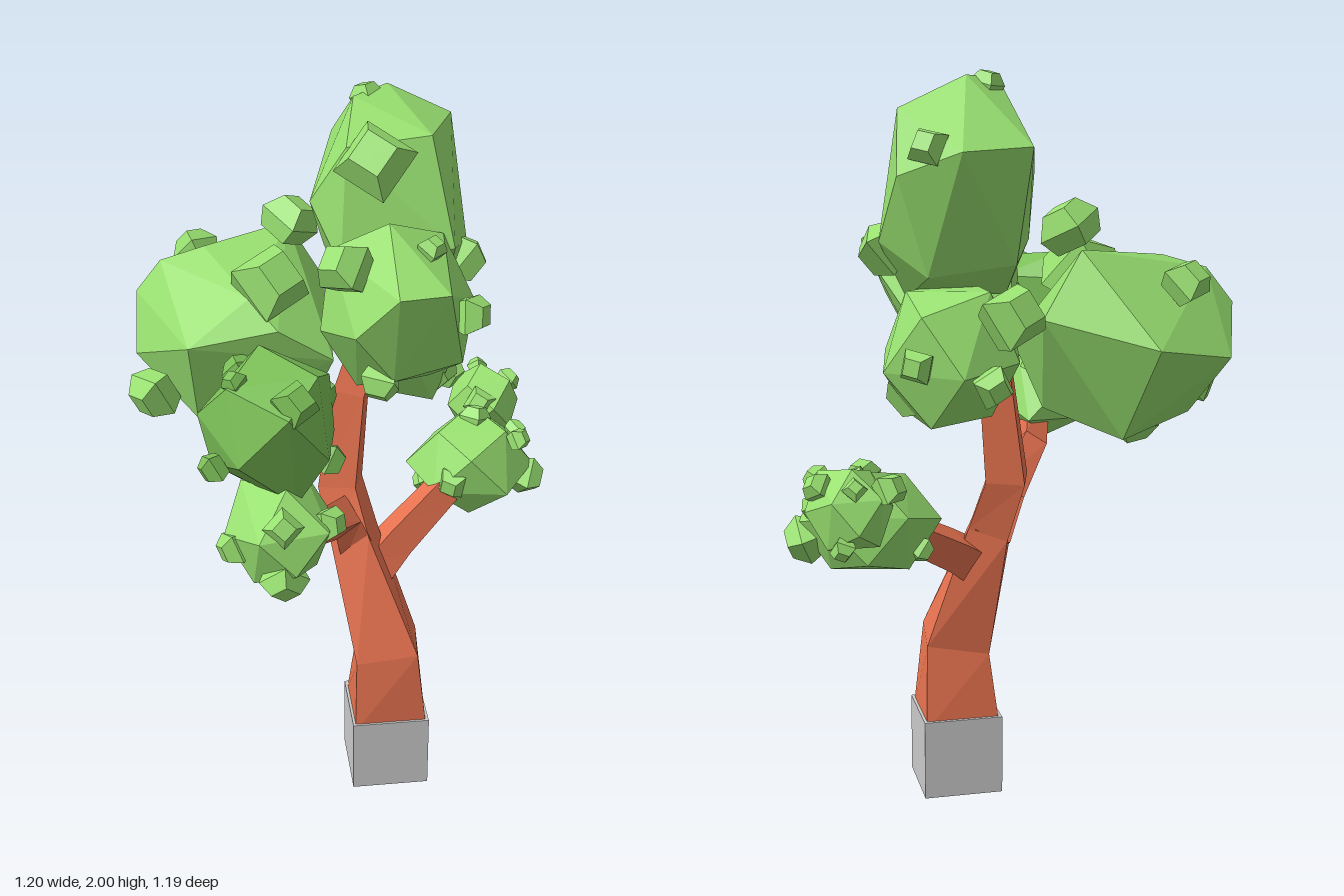
import * as THREE from 'three';
import { ConvexGeometry } from 'three/addons/geometries/ConvexGeometry.js';

const mat = (color) => new THREE.MeshStandardMaterial({ color, flatShading: true });
const V = (a) => new THREE.Vector3(a[0], a[1], a[2]);

// Small seeded generator for the irregular clumps
function seeded(s) {
  return () => (s = (s * 16807) % 2147483647) / 2147483647;
}

// Four-sided limb through points [x, y, z, halfWidth, twist]
function limb(name, pts, material) {
  const pos = [], idx = [];
  pts.forEach((p, i) => {
    const t = V(pts[Math.min(i + 1, pts.length - 1)]).sub(V(pts[Math.max(i - 1, 0)])).normalize();
    if (p[4] === 0) t.set(0, 1, 0);
    const side = t.clone().cross(new THREE.Vector3(0, 0, 1)).normalize();
    const other = side.clone().cross(t);
    for (let j = 0; j < 4; j++) {
      const a = Math.PI / 4 + j * Math.PI / 2 + p[4], r = p[3] * Math.SQRT2;
      const c = V(p).addScaledVector(side, r * Math.cos(a)).addScaledVector(other, r * Math.sin(a));
      pos.push(c.x, c.y, c.z);
    }
  });
  for (let i = 0; i < pts.length - 1; i++) {
    for (let j = 0; j < 4; j++) {
      const a = i * 4 + j, b = i * 4 + (j + 1) % 4;
      idx.push(a, a + 4, b, b, a + 4, b + 4);
    }
  }
  const n = (pts.length - 1) * 4;
  idx.push(0, 1, 2, 0, 2, 3, n, n + 2, n + 1, n, n + 3, n + 2);
  let g = new THREE.BufferGeometry();
  g.setAttribute('position', new THREE.Float32BufferAttribute(pos, 3));
  g.setIndex(idx);
  g = g.toNonIndexed();
  g.computeVertexNormals();
  const m = new THREE.Mesh(g, material);
  m.name = name;
  return m;
}

// Faceted ball: turned, jittered cube and octahedron corners fitted to a box
function ballPoints(center, half, seed) {
  const rnd = seeded(seed), pts = [];
  const turn = new THREE.Euler(rnd() * 2, rnd() * 2, rnd() * 2);
  for (const x of [-1, 0, 1]) for (const y of [-1, 0, 1]) for (const z of [-1, 0, 1]) {
    const k = Math.abs(x) + Math.abs(y) + Math.abs(z);
    if (k !== 1 && k !== 3) continue;
    pts.push(new THREE.Vector3(x, y, z).normalize().multiplyScalar(0.9 + 0.2 * rnd()).applyEuler(turn));
  }
  const box = new THREE.Box3().setFromPoints(pts);
  const mid = box.getCenter(new THREE.Vector3()), size = box.getSize(new THREE.Vector3());
  return pts.map((p) => p.sub(mid).divide(size).multiply(V(half)).multiplyScalar(2).add(V(center)));
}

// Tapered four-sided bud
const budGeometry = new THREE.LatheGeometry(
  [[0, -0.7], [0.85, -0.7], [1.15, 0], [0.65, 0.7], [0, 0.7]].map((p) => new THREE.Vector2(...p)), 4);

// Hull of points, with buds [x, y, z, size] pointing away from its middle
function clump(name, points, buds, material) {
  const group = new THREE.Group();
  group.name = name;
  const body = new THREE.Mesh(new ConvexGeometry(points), material);
  body.name = name + 'Body';
  group.add(body);
  const mid = new THREE.Box3().setFromPoints(points).getCenter(new THREE.Vector3());
  buds.forEach((b) => {
    const bud = new THREE.Mesh(budGeometry, material);
    bud.name = 'leafBud';
    bud.position.copy(V(b));
    bud.quaternion.setFromUnitVectors(new THREE.Vector3(0, 1, 0), V(b).sub(mid).normalize());
    bud.scale.setScalar(b[3]);
    group.add(bud);
  });
  return group;
}

export function createModel() {
  const tree = new THREE.Group();
  tree.name = 'tree';
  const bark = mat(0xe87350), leaf = mat(0x98e070), darkLeaf = mat(0x7cc058);

  // Base block
  const base = new THREE.Mesh(new THREE.BoxGeometry(0.222, 0.226, 0.222), mat(0xcccccc));
  base.name = 'baseBlock';
  base.position.set(0.09, 0.113, 0.036);
  tree.add(base);

  // Trunk and branches
  tree.add(
    limb('trunk', [
      [0.09, 0.2, 0.036, 0.104, 0], [0.088, 0.43, 0.045, 0.088, 0.1], [0.003, 0.77, -0.03, 0.056, 0.3],
      [-0.032, 0.92, -0.075, 0.053, 0.3], [0.0, 1.2, -0.085, 0.043, 0.3], [0.05, 1.35, -0.1, 0.04, 0.3],
    ], bark),
    limb('frontBranch', [
      [0.01, 0.74, -0.03, 0.052, 0.1], [-0.04, 0.85, 0.01, 0.045, 0.1],
      [-0.18, 0.94, 0.25, 0.036, 0.1], [-0.21, 1.07, 0.29, 0.03, 0.1],
    ], bark),
    limb('sideBranch', [[0.04, 0.66, 0.0, 0.05, 0.1], [0.12, 0.72, -0.06, 0.045, 0.1], [0.31, 0.84, -0.19, 0.038, 0.1]], bark),
  );

  // Large crown clumps
  tree.add(
    clump('rearCrown', [
      [-0.29, 1.34, -0.6], [-0.51, 1.3, -0.49], [-0.57, 1.42, -0.33], [-0.58, 1.27, -0.24], [-0.5, 1.51, -0.32],
      [-0.38, 1.545, -0.32], [-0.14, 1.57, -0.42], [-0.27, 1.47, -0.11], [-0.44, 1.36, -0.045], [-0.2, 1.4, -0.04],
      [-0.05, 1.3, -0.06], [-0.04, 1.4, -0.43], [-0.42, 1.12, -0.12], [-0.12, 1.12, -0.12], [-0.25, 1.09, -0.43],
      [-0.45, 1.14, -0.35],
    ].map(V), [
      [-0.4, 1.49, -0.46, 0.06], [-0.14, 1.62, -0.3, 0.075], [-0.21, 1.5, -0.14, 0.1],
      [-0.54, 1.19, -0.14, 0.07], [-0.33, 1.1, -0.25, 0.065],
    ], leaf),
    clump('topCrown', [
      [0.02, 1.98, -0.2], [0.12, 1.99, -0.28], [0.29, 1.91, -0.27], [0.2, 1.92, -0.03], [-0.02, 1.9, -0.02],
      [-0.11, 1.75, -0.06], [-0.01, 1.82, -0.45], [0.17, 1.81, -0.48], [0.31, 1.75, -0.37], [0.33, 1.58, -0.2],
      [0.25, 1.65, 0.06], [-0.04, 1.6, 0.03], [0, 1.44, -0.2], [0.24, 1.42, -0.08], [0.23, 1.5, -0.34],
      [0.01, 1.53, -0.36], [-0.06, 1.58, -0.2],
    ].map(V), [
      [0.05, 1.87, 0.01, 0.095], [0.06, 1.97, -0.25, 0.04], [0.24, 1.82, -0.41, 0.05], [0.31, 1.55, -0.12, 0.07],
    ], leaf),
    clump('frontCrown', [
      [0.07, 1.75, 0.13], [0.22, 1.69, 0.05], [-0.07, 1.66, 0.05], [0.07, 1.62, 0.32], [0.2, 1.62, 0.3],
      [-0.03, 1.5, 0.26], [0.31, 1.5, 0.04], [0.25, 1.4, 0.21], [0.07, 1.37, 0.24], [-0.1, 1.45, 0.08],
      [0, 1.27, 0.04], [0.2, 1.27, 0.0], [0.23, 1.36, -0.12], [-0.04, 1.38, -0.1],
    ].map(V), [
      [-0.05, 1.66, 0.18, 0.07], [0.17, 1.7, 0.18, 0.035], [0.27, 1.53, 0.21, 0.055], [0.04, 1.35, 0.2, 0.055],
    ], leaf),
    clump('innerCrown', ballPoints([0.16, 1.295, -0.27], [0.185, 0.175, 0.235], 11), [
      [0.25, 1.19, -0.2, 0.07], [0.05, 1.42, -0.5, 0.08], [0.28, 1.3, -0.45, 0.045], [0.1, 1.25, -0.5, 0.05],
    ], leaf),
  );

  // Clumps at the branch ends
  tree.add(
    clump('frontUpperLeaves', [
      [-0.26, 1.43, 0.19], [-0.25, 1.22, 0.2], [-0.43, 1.36, 0.34], [-0.4, 1.22, 0.34], [-0.27, 1.5, 0.26],
      [-0.1, 1.43, 0.3], [-0.09, 1.28, 0.31], [-0.14, 1.48, 0.42], [-0.36, 1.46, 0.42], [-0.22, 1.42, 0.53],
      [-0.12, 1.28, 0.47], [-0.34, 1.28, 0.49], [-0.27, 1.13, 0.33], [-0.2, 1.15, 0.45],
    ].map(V), [
      [-0.34, 1.47, 0.4, 0.03], [-0.2, 1.44, 0.48, 0.055], [-0.32, 1.43, 0.24, 0.04],
      [-0.12, 1.37, 0.28, 0.045], [-0.4, 1.25, 0.42, 0.04], [-0.11, 1.25, 0.41, 0.045],
    ], darkLeaf),
    clump('frontLowerLeaves', ballPoints([-0.24, 1.075, 0.395], [0.14, 0.13, 0.18], 37), [
      [-0.24, 1.14, 0.54, 0.045], [-0.36, 1.04, 0.45, 0.045], [-0.24, 0.99, 0.54, 0.055],
      [-0.12, 1.11, 0.48, 0.045], [-0.15, 1.0, 0.34, 0.04],
    ], leaf),
    clump('sideLowerLeaves', ballPoints([0.37, 0.875, -0.24], [0.185, 0.14, 0.145], 51), [
      [0.3, 0.86, -0.13, 0.045], [0.5, 0.97, -0.17, 0.035], [0.54, 0.82, -0.22, 0.058],
      [0.39, 1.0, -0.27, 0.042], [0.52, 0.93, -0.3, 0.035], [0.24, 0.79, -0.28, 0.035],
    ], leaf),
    clump('sideUpperLeaves', ballPoints([0.45, 0.955, -0.45], [0.11, 0.11, 0.13], 67), [
      [0.36, 1.02, -0.53, 0.042], [0.53, 1.02, -0.47, 0.036], [0.45, 1.03, -0.56, 0.028],
      [0.42, 1.0, -0.36, 0.045], [0.48, 0.88, -0.55, 0.03],
    ], leaf),
  );
  return tree;
}
